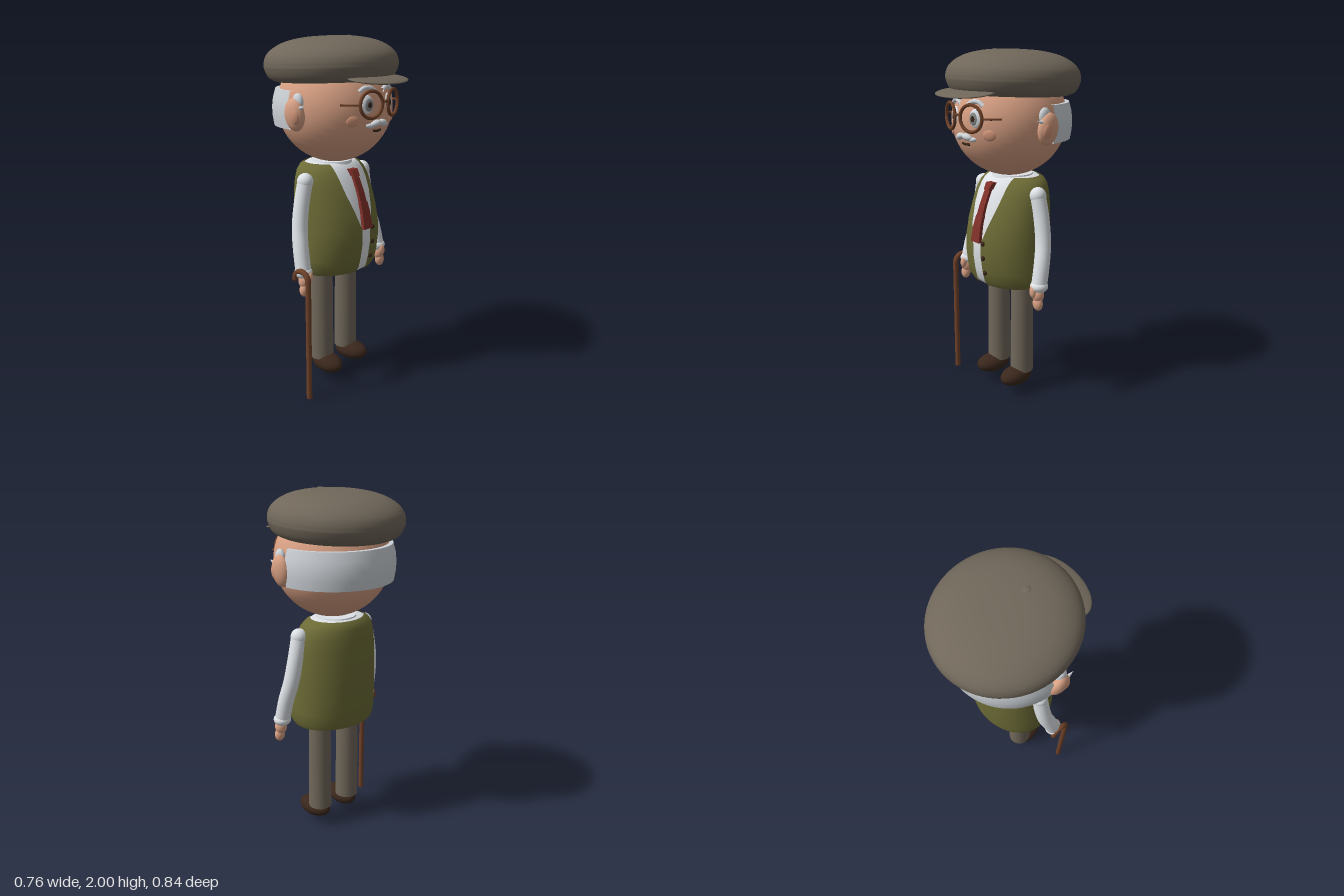
import * as THREE from 'three';
import { toCreasedNormals } from 'three/addons/utils/BufferGeometryUtils.js';

const V = (x, y, z) => new THREE.Vector3(x, y, z);
const material = (name, color, side = THREE.FrontSide) => {
  const m = new THREE.MeshStandardMaterial({ color, side });
  m.name = name;
  return m;
};

// Torso rows: y, half width, back z, front z, half width of the vest opening
const TORSO = [
  [0.69, 0.25, -0.21, 0.18, 0.033], [0.72, 0.266, -0.217, 0.2, 0.033],
  [0.78, 0.268, -0.223, 0.215, 0.033], [0.86, 0.268, -0.228, 0.227, 0.033],
  [0.95, 0.264, -0.23, 0.228, 0.035], [1.05, 0.257, -0.23, 0.21, 0.07],
  [1.155, 0.248, -0.224, 0.175, 0.1], [1.22, 0.238, -0.217, 0.147, 0.11],
  [1.265, 0.222, -0.208, 0.122, 0.113], [1.295, 0.195, -0.198, 0.1, 0.113],
  [1.31, 0.162, -0.18, 0.082, 0.11],
];

function frontZ(y) {
  const i = Math.min(TORSO.length - 2, Math.max(0, TORSO.findIndex(r => r[0] > y) - 1));
  const a = TORSO[i], b = TORSO[i + 1];
  return THREE.MathUtils.lerp(a[3], b[3], (y - a[0]) / (b[0] - a[0]));
}

// Skin elliptical rows, leaving a gap at the front where a row asks for one
function loft(rows, seg = 48) {
  const pos = [], index = [];
  rows.forEach(([y, rx, back, front, gap], i) => {
    const start = gap ? Math.asin(gap / rx) : 0;
    for (let j = 0; j <= seg; j++) {
      const t = start + (2 * Math.PI - 2 * start) * j / seg;
      pos.push(rx * Math.sin(t), y, (back + front) / 2 + (front - back) / 2 * Math.cos(t));
      if (i < rows.length - 1 && j < seg) {
        const a = i * (seg + 1) + j, d = a + seg + 1;
        index.push(a, a + 1, d, a + 1, d + 1, d);
      }
    }
  });
  const g = new THREE.BufferGeometry();
  g.setAttribute('position', new THREE.Float32BufferAttribute(pos, 3));
  g.setIndex(index);
  return toCreasedNormals(g, 0.9);
}

export function createModel() {
  const model = new THREE.Group();
  const tweed = material('tweed', 0x70675a);
  const skin = material('skin', 0xd9a184);
  const white = material('shirt white', 0xdde1e5);
  const hair = material('silver hair', 0xcdd2d7, THREE.DoubleSide);
  const olive = material('olive wool', 0x6c6b36, THREE.DoubleSide);
  const red = material('tie red', 0x803029);
  const brown = material('dark leather', 0x3a271c);
  const wood = material('wood', 0x6e4129);
  const blush = material('cheek blush', 0xd4977b);
  const iris = material('iris grey', 0x87898a);

  const add = (name, geo, mat, p = [0, 0, 0], s = [1, 1, 1], r = [0, 0, 0]) => {
    const m = new THREE.Mesh(geo, mat);
    m.name = name;
    m.position.set(...p);
    m.scale.set(...s);
    m.rotation.set(...r);
    model.add(m);
    return m;
  };
  const sphere = new THREE.SphereGeometry(1, 40, 28);
  const ball = (name, mat, p, s, r) => add(name, sphere, mat, p, s, r);
  const tube = (name, mat, pts, r) =>
    add(name, new THREE.TubeGeometry(new THREE.CatmullRomCurve3(pts), 32, r, 14), mat);

  // Head and face
  ball('head', skin, [0, 1.625, -0.01], [0.325, 0.315, 0.318]);
  tube('mouth', brown, [V(-0.034, 1.511, 0.284), V(0, 1.509, 0.29), V(0.034, 1.511, 0.284)], 0.007);

  // Flat cap with button and peak
  const capCurve = new THREE.SplineCurve([
    [0.3, -0.092], [0.338, -0.072], [0.359, -0.03], [0.363, 0.005], [0.348, 0.05],
    [0.305, 0.09], [0.235, 0.122], [0.13, 0.142], [0, 0.148],
  ].map(p => new THREE.Vector2(...p)));
  const capPoints = [new THREE.Vector2(0, -0.092), ...capCurve.getPoints(40)];
  add('cap', toCreasedNormals(new THREE.LatheGeometry(capPoints, 64), 0.7), tweed,
    [0, 1.85, -0.04], [1, 1, 1.04], [-0.035, 0, 0]);
  ball('capButton', tweed, [0, 1.989, 0.09], [0.024, 0.012, 0.024]);
  ball('capPeak', tweed, [0, 1.782, 0.29], [0.208, 0.016, 0.13], [0.14, 0, 0]);

  // Hair band round the back of the head
  const band = [[0.29, 1.52], [0.338, 1.52], [0.346, 1.57], [0.348, 1.62], [0.342, 1.67],
    [0.328, 1.72], [0.28, 1.72]].map(p => new THREE.Vector2(...p));
  add('hairBand', toCreasedNormals(new THREE.LatheGeometry(band, 48, Math.PI * 0.52, Math.PI * 0.96), 0.6),
    hair, [0, 0, -0.012]);

  // Shirt, vest and collar
  const inner = TORSO.map(([y, rx, b, f]) => [y, rx - 0.012, b + 0.012, f - 0.01]);
  add('shirt', loft([[0.672, 0.001, -0.016, -0.014], [0.675, 0.2, -0.17, 0.14], ...inner,
    [1.311, 0.001, -0.05, -0.048]]), white);
  add('vest', loft(TORSO), olive);
  add('collar', new THREE.CylinderGeometry(0.115, 0.13, 0.05, 40), white, [0, 1.292, -0.035]);
  [0.95, 0.865, 0.775].forEach(y =>
    ball('vestButton', brown, [0.053, y, frontZ(y) - 0.002], [0.014, 0.014, 0.011]));

  // Tie, bent to follow the chest
  const tiePart = (name, y0, y1, w0, w1, depth, out) => {
    const g = new THREE.BoxGeometry(1, y1 - y0, depth, 1, 8, 1);
    const p = g.attributes.position;
    for (let i = 0; i < p.count; i++) {
      const y = p.getY(i) + (y0 + y1) / 2, t = (y - y0) / (y1 - y0);
      p.setXYZ(i, p.getX(i) * (w0 + (w1 - w0) * t), y, p.getZ(i) + frontZ(y) + out);
    }
    g.computeVertexNormals();
    add(name, g, red);
  };
  tiePart('tieLower', 0.952, 1.1, 0.074, 0.056, 0.02, 0.004);
  tiePart('tieUpper', 1.1, 1.245, 0.05, 0.042, 0.018, 0.003);
  tiePart('tieKnot', 1.24, 1.278, 0.044, 0.054, 0.034, 0.004);

  for (const s of [-1, 1]) {
    // Ears and sideburns
    ball('ear', skin, [s * 0.336, 1.6, 0.008], [0.04, 0.087, 0.063], [0, 0, -s * 0.12]);
    ball('innerEar', blush, [s * 0.355, 1.595, 0.025], [0.021, 0.05, 0.036], [0, 0, -s * 0.12]);
    ball('sideburn', hair, [s * 0.328, 1.668, 0.025], [0.022, 0.045, 0.035]);
    add('sideburnTuft', new THREE.ConeGeometry(0.022, 0.07, 16), hair,
      [s * 0.345, 1.64, 0.058], [1, 1, 1], [Math.PI / 2 - 0.25, 0, 0]);

    // Eyes, brows, cheeks and moustache
    const look = [0, s * 0.28, 0];
    ball('eyeWhite', white, [s * 0.088, 1.652, 0.285], [0.042, 0.052, 0.02], look);
    ball('iris', iris, [s * 0.085, 1.652, 0.3], [0.028, 0.034, 0.009], look);
    ball('pupil', brown, [s * 0.085, 1.652, 0.307], [0.013, 0.016, 0.005], look);
    tube('eyebrow', hair, [V(s * 0.032, 1.722, 0.295), V(s * 0.065, 1.738, 0.291),
      V(s * 0.1, 1.738, 0.28), V(s * 0.132, 1.718, 0.27)], 0.012);
    ball('cheek', blush, [s * 0.162, 1.57, 0.257], [0.036, 0.03, 0.01], [0.12, s * 0.55, 0]);
    ball('moustache', hair, [s * 0.028, 1.552, 0.302], [0.036, 0.018, 0.022], [0, s * 0.15, -s * 0.2]);
    ball('moustacheTip', hair, [s * 0.062, 1.54, 0.29], [0.026, 0.013, 0.016], [0, s * 0.25, s * 0.15]);

    // Spectacles
    add('spectacleRim', new THREE.TorusGeometry(0.07, 0.009, 12, 40), wood,
      [s * 0.09, 1.656, 0.322], [1, 1, 1], [0, s * 0.28, 0]);
    tube('spectacleArm', wood, [V(s * 0.158, 1.657, 0.304), V(s * 0.19, 1.657, 0.275), V(s * 0.226, 1.657, 0.225)], 0.006);

    // Arm, cuff and hand
    const path = new THREE.CatmullRomCurve3([V(s * 0.243, 1.225, -0.012), V(s * 0.272, 1.1, -0.014),
      V(s * 0.298, 0.97, -0.005), V(s * 0.317, 0.86, 0.02), V(s * 0.326, 0.745, 0.045)]);
    add('sleeve', new THREE.TubeGeometry(path, 32, 0.044, 24), white);
    ball('shoulder', white, [s * 0.243, 1.225, -0.012], [0.046, 0.048, 0.046]);
    ball('cuff', white, [s * 0.327, 0.737, 0.047], [0.05, 0.036, 0.05]);
    ball('palm', skin, [s * 0.33, 0.69, 0.058], [0.035, 0.045, 0.034]);
    ball('fingers', skin, [s * 0.335, 0.642, 0.063], [0.031, 0.042, 0.026], [0, 0, s * 0.15]);
    ball('thumb', skin, [s * 0.322, 0.712, 0.087], [0.021, 0.036, 0.02], [0, 0, s * 0.15]);

    // Leg and shoe
    add('trouserLeg', new THREE.CylinderGeometry(0.064, 0.069, 0.58, 32), tweed, [s * 0.107, 0.415, -0.02]);
    ball('trouserHem', tweed, [s * 0.107, 0.127, -0.02], [0.068, 0.018, 0.068]);
    ball('shoe', brown, [s * 0.11, 0.096, 0.026], [0.07, 0.056, 0.111], [0, s * 0.08, 0]);
  }
  tube('spectacleBridge', wood, [V(-0.023, 1.662, 0.338), V(0, 1.67, 0.342), V(0.023, 1.662, 0.338)], 0.007);

  // Walking stick with crook, held in the right hand
  add('caneShaft', new THREE.CylinderGeometry(0.016, 0.016, 0.705, 20), wood, [-0.365, 0.3525, 0.119]);
  const crook = [V(-0.365, 0.69, 0.119)];
  for (let i = 0; i <= 10; i++) {
    const t = Math.PI * i / 10;
    crook.push(V(-0.365, 0.705 + 0.05 * Math.sin(t), 0.069 + 0.05 * Math.cos(t)));
  }
  tube('caneCrook', wood, crook, 0.016);
  ball('caneTip', wood, [-0.365, 0.705, 0.019], [0.016, 0.016, 0.016]);

  return model;
}
